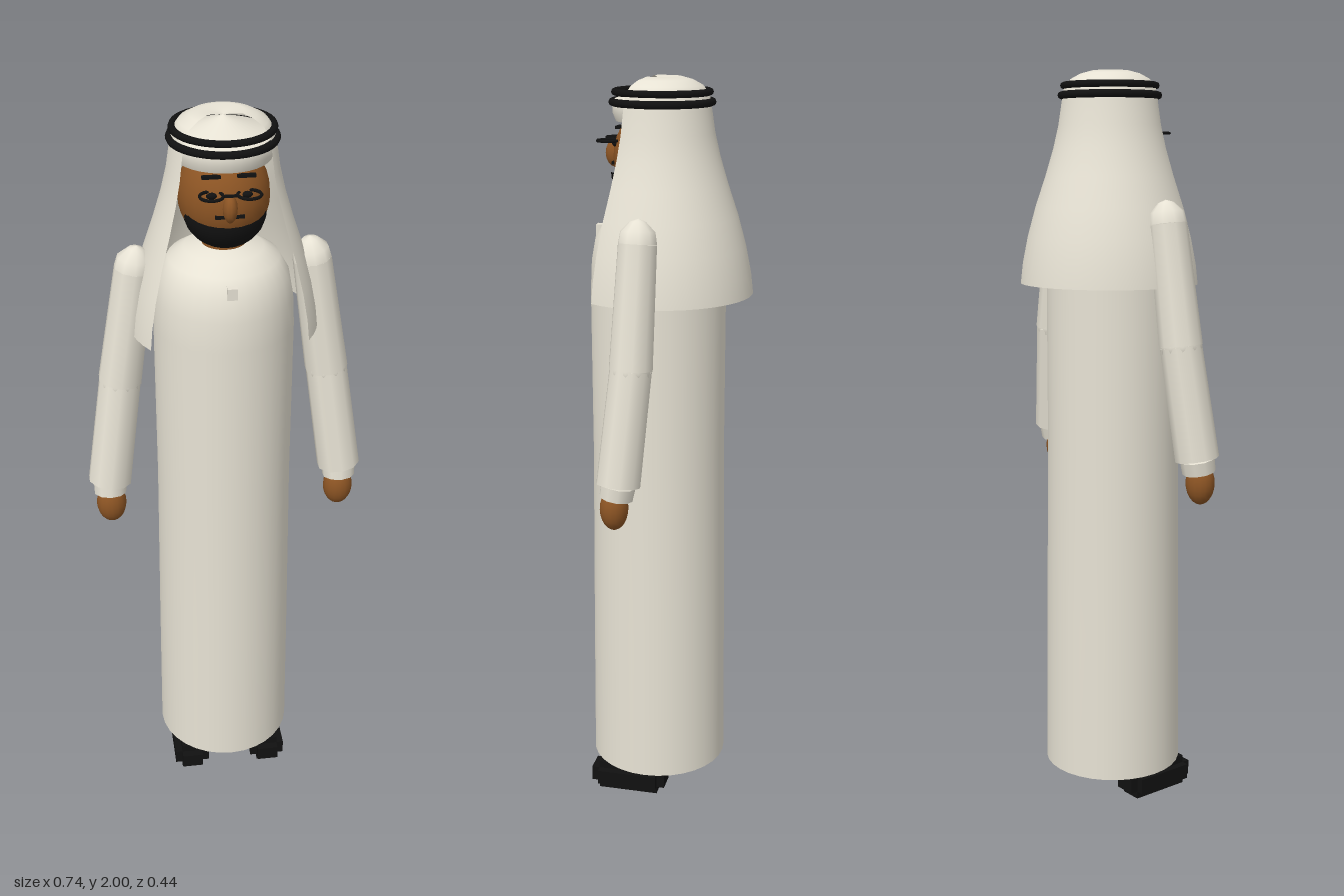
import * as THREE from 'three';

export function createModel() {
  const root = new THREE.Group();
  const mat = (name, color, side = THREE.FrontSide) => {
    const m = new THREE.MeshStandardMaterial({ color, side });
    m.name = name;
    return m;
  };
  const cloth = mat('cream cloth', 0xf5f0e1, THREE.DoubleSide);
  const skin = mat('brown skin', 0x8d5524);
  const black = mat('black', 0x111111);

  const add = (name, geo, material, x = 0, y = 0, z = 0, parent = root) => {
    const m = new THREE.Mesh(geo, material);
    m.name = name;
    m.position.set(x, y, z);
    parent.add(m);
    return m;
  };
  const lathe = (pts, segs, start = 0, len = Math.PI * 2) =>
    new THREE.LatheGeometry(pts.map(p => new THREE.Vector2(...p)), segs, start, len);
  const ball = (rx, ry, rz, w = 24, h = 16) => new THREE.SphereGeometry(1, w, h).scale(rx, ry, rz);
  // Tapered limb running between two points
  const limb = (name, a, b, ra, rb, material, sides = 10) => {
    const A = new THREE.Vector3(...a), B = new THREE.Vector3(...b);
    const dir = A.clone().sub(B);
    const m = add(name, new THREE.CylinderGeometry(ra, rb, dir.length(), sides), material);
    m.position.copy(A).add(B).multiplyScalar(0.5);
    m.quaternion.setFromUnitVectors(new THREE.Vector3(0, 1, 0), dir.normalize());
    return m;
  };

  // Long robe, open at the hem
  add('robe', lathe([
    [0.19, 0.085], [0.186, 0.5], [0.18, 1.0], [0.18, 1.45], [0.176, 1.53],
    [0.165, 1.59], [0.14, 1.635], [0.1, 1.66], [0.055, 1.672],
  ], 32), cloth, 0, 0, 0.03);
  add('collarTab', new THREE.BoxGeometry(0.025, 0.03, 0.02), cloth, 0, 1.605, 0.186);

  // Head
  add('neck', new THREE.CylinderGeometry(0.055, 0.055, 0.1, 20), skin, 0, 1.69, 0.03);
  add('head', ball(0.113, 0.13, 0.115), skin, 0, 1.8, 0.03);
  add('nose', ball(0.018, 0.035, 0.025, 12, 8), skin, 0, 1.805, 0.145);
  const beard = new THREE.SphereGeometry(1, 24, 10, 0, Math.PI * 2, Math.PI * 0.46, Math.PI * 0.54);
  add('beard', beard.scale(0.103, 0.09, 0.108), black, 0, 1.764, 0.045).rotation.x = 0.15;
  add('moustache', new THREE.BoxGeometry(0.07, 0.008, 0.012), black, 0, 1.783, 0.139);
  add('glassesBridge', new THREE.BoxGeometry(0.036, 0.006, 0.006), black, 0, 1.84, 0.152);
  for (const s of [1, -1]) {
    add('eye', ball(0.014, 0.008, 0.008, 10, 8), black, s * 0.042, 1.834, 0.132);
    add('eyebrow', new THREE.BoxGeometry(0.045, 0.007, 0.012), black, s * 0.042, 1.876, 0.12);
    add('glassesRim', new THREE.TorusGeometry(0.028, 0.004, 6, 20).rotateX(Math.PI / 2), black, s * 0.045, 1.841, 0.15);
  }

  // Headcloth, open around the face, over a cone-topped cap
  const gap = 55 * Math.PI / 180;
  add('headcloth', lathe([
    [0.242, 1.447], [0.236, 1.5], [0.222, 1.57], [0.2, 1.65], [0.173, 1.73], [0.152, 1.8],
    [0.138, 1.86], [0.129, 1.92], [0.123, 1.955], [0.106, 1.978], [0.08, 1.992], [0.05, 2.0], [0, 1.99],
  ], 32, gap, Math.PI * 2 - gap * 2), cloth, 0, 0, 0.02);
  add('cap', lathe([[0.118, 1.89], [0.126, 1.91], [0.126, 1.93], [0.12, 1.945]], 32), cloth, 0, 0, 0.02);
  add('capTop', lathe([[0.12, 1.945], [0, 1.99]], 32), cloth, 0, 0, 0.02);
  add('lowerHeadRing', new THREE.TorusGeometry(0.128, 0.01, 8, 40).rotateX(Math.PI / 2), black, 0, 1.937, 0.018);
  add('upperHeadRing', new THREE.TorusGeometry(0.122, 0.009, 8, 40).rotateX(Math.PI / 2), black, 0, 1.962, 0.018);

  for (const s of [1, -1]) {
    // Arms
    const shoulder = [s * 0.225, 1.61, 0.029], elbow = [s * 0.272, 1.3, 0.037], wrist = [s * 0.313, 1.005, 0.062];
    const top = add('shoulder', lathe([[0.05, 0], [0.045, 0.03], [0.02, 0.055], [0, 0.062]], 10), cloth, ...shoulder);
    top.rotation.z = s * 0.15;
    limb('upperArm', shoulder, elbow, 0.05, 0.057, cloth);
    add('elbow', ball(0.055, 0.05, 0.055, 10, 8), cloth, ...elbow);
    limb('forearm', elbow, wrist, 0.055, 0.058, cloth);
    limb('cuff', wrist, [s * 0.314, 0.97, 0.068], 0.046, 0.044, cloth);
    add('hand', ball(0.04, 0.058, 0.037, 16, 12), skin, s * 0.312, 0.94, 0.074);

    // Legs and stepped shoes
    add('trouserLeg', new THREE.CylinderGeometry(0.055, 0.052, 0.6, 16), cloth, s * 0.114, 0.38, 0.04);
    const shoe = new THREE.Group();
    shoe.name = 'shoe';
    shoe.position.set(s * 0.114, 0.042, 0.09);
    root.add(shoe);
    add('shoeCore', new THREE.BoxGeometry(0.06, 0.084, 0.17), black, 0, 0, 0, shoe);
    add('shoeSides', new THREE.BoxGeometry(0.1, 0.042, 0.17), black, 0, 0, 0, shoe);
    add('shoeEnds', new THREE.BoxGeometry(0.06, 0.042, 0.214), black, 0, 0, 0, shoe);
  }
  return root;
}
